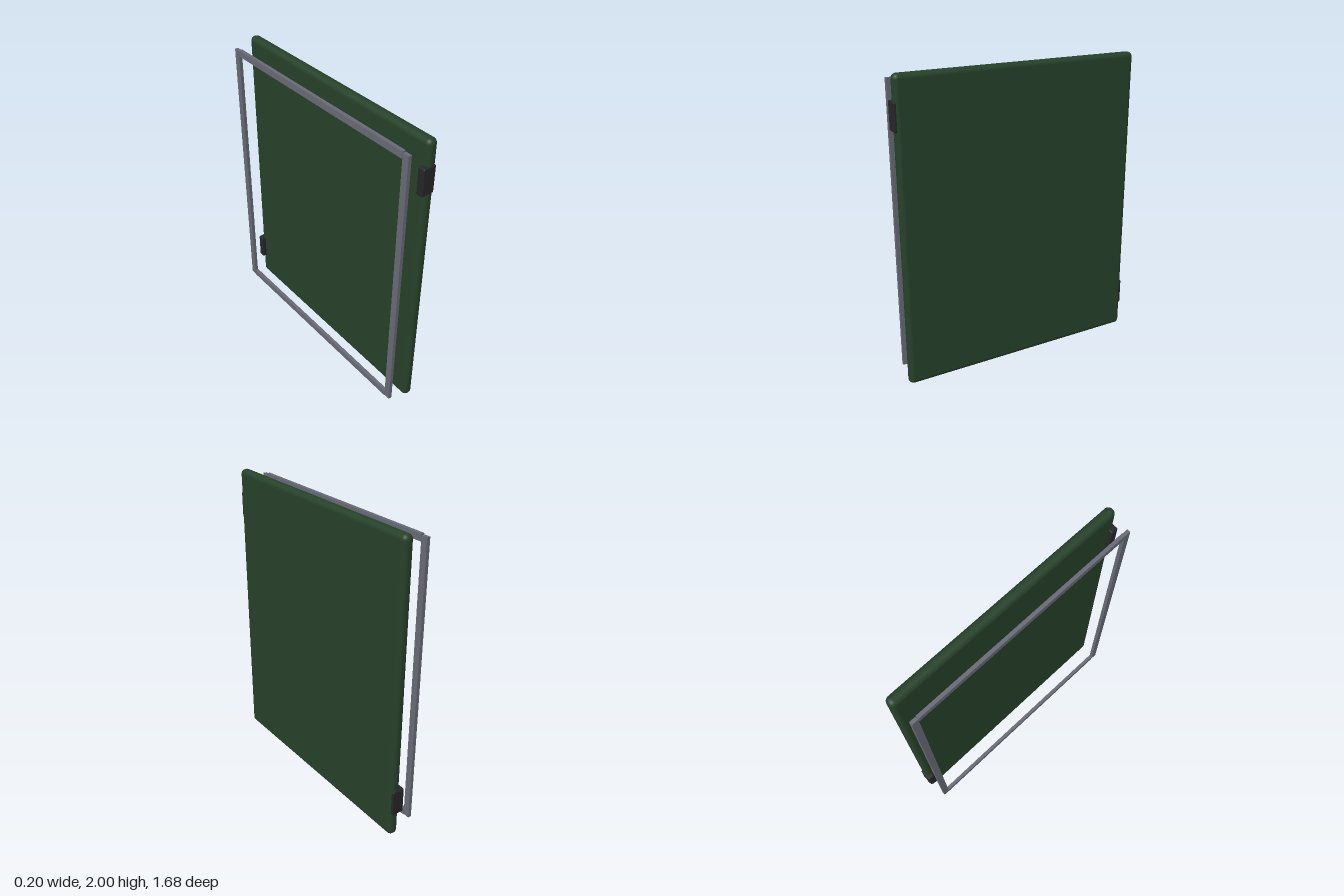
import * as THREE from 'three';
import { RoundedBoxGeometry } from 'three/addons/geometries/RoundedBoxGeometry.js';

const material = (name, color) => {
  const m = new THREE.MeshStandardMaterial({ color });
  m.name = name;
  return m;
};

export function createModel() {
  const model = new THREE.Group();
  const green = material('dark green', 0x27412a);
  const black = material('black', 0x262628);
  const grey = material('steel grey', 0x686b76);

  const add = (name, geometry, mat, x, y, z) => {
    const mesh = new THREE.Mesh(geometry, mat);
    mesh.name = name;
    mesh.position.set(x, y, z);
    model.add(mesh);
  };

  // Upright slab with rounded edges
  add('panel', new RoundedBoxGeometry(0.07, 2, 1.666, 4, 0.032), green, 0.062, 1, 0);

  // Latches wrap the two side edges: high on the front edge, low on the back edge
  const latch = new RoundedBoxGeometry(0.088, 0.178, 0.049, 2, 0.008);
  add('frontLatch', latch, black, 0.044, 1.752, 0.8135);
  add('backLatch', latch, black, 0.044, 0.255, -0.8135);

  // Thin rectangular frame standing clear of the panel
  const bar = 0.044;
  const post = new THREE.BoxGeometry(0.023, 1.896, bar);
  const rail = new THREE.BoxGeometry(0.023, bar, 1.53);
  for (const s of [-1, 1]) {
    add(s > 0 ? 'frontFramePost' : 'backFramePost', post, grey, -0.087, 1.003, s * 0.79);
    add(s > 0 ? 'topFrameRail' : 'bottomFrameRail', rail, grey, -0.087, 1.003 + s * 0.933, 0);
  }
  return model;
}
